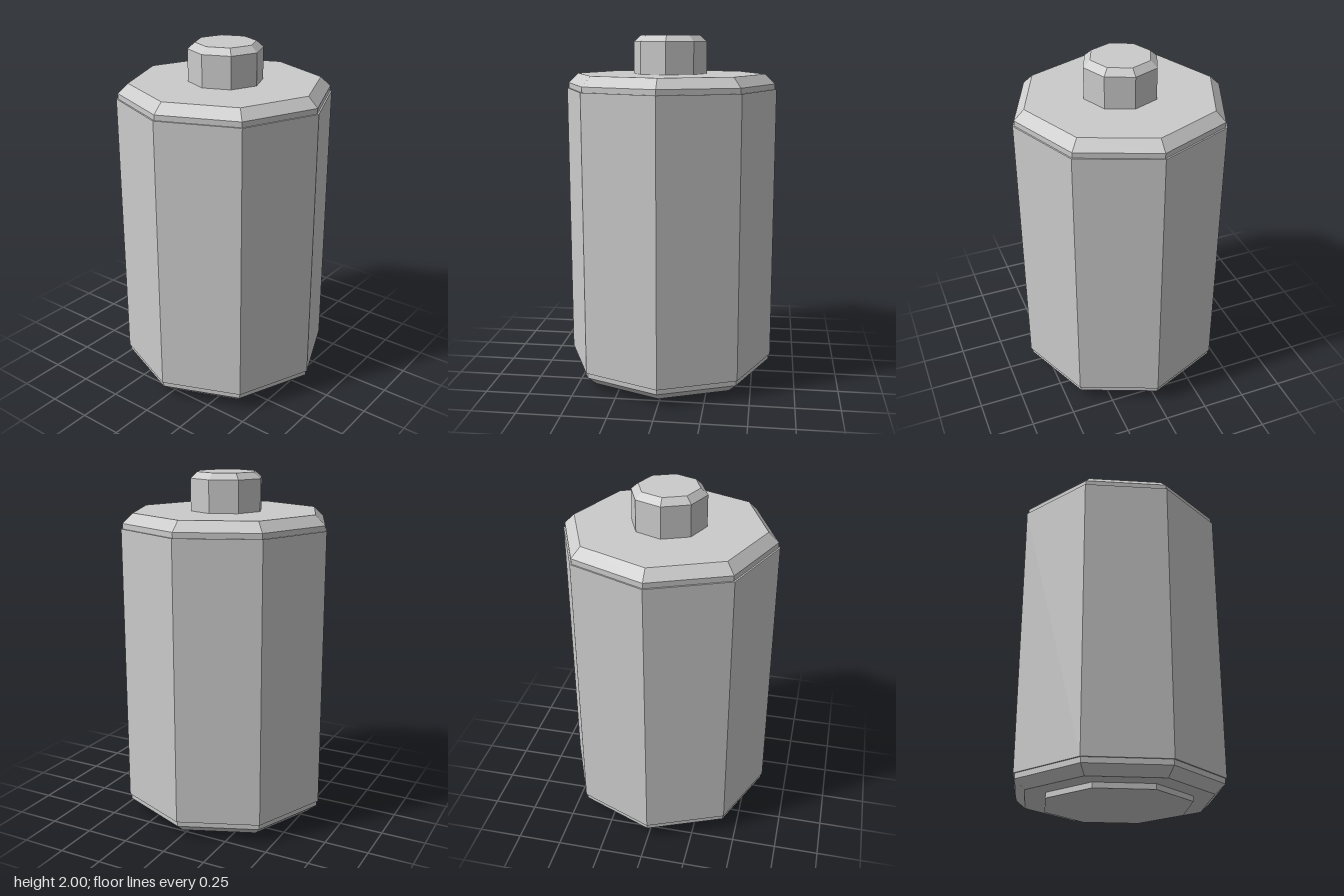
import * as THREE from 'three';

const SIDES = 8;

export function createModel() {
  const group = new THREE.Group();
  group.name = 'battery';
  const material = new THREE.MeshStandardMaterial({ color: 0xcccccc, flatShading: true });

  // Turns a [radius, height] profile, listed bottom to top, into an octagonal part
  function turned(name, profile) {
    const points = profile.map(([r, y]) => new THREE.Vector2(r, y));
    const mesh = new THREE.Mesh(new THREE.LatheGeometry(points, SIDES), material);
    mesh.name = name;
    group.add(mesh);
  }

  // Chamfered can with a slightly raised wrapper around its middle
  turned('casing', [
    [0, 0.03], [0.54, 0.03], [0.598, 0.08], [0.598, 0.11],
    [0.607, 0.11], [0.607, 1.70],
    [0.598, 1.70], [0.598, 1.73], [0.54, 1.785], [0, 1.785],
  ]);

  // Raised button on top with a chamfered rim
  turned('topTerminal', [[0.21, 1.785], [0.21, 1.965], [0.17, 2], [0, 2]]);

  // Shallow contact plate underneath
  turned('bottomTerminal', [[0, 0], [0.422, 0], [0.422, 0.03]]);

  return group;
}
